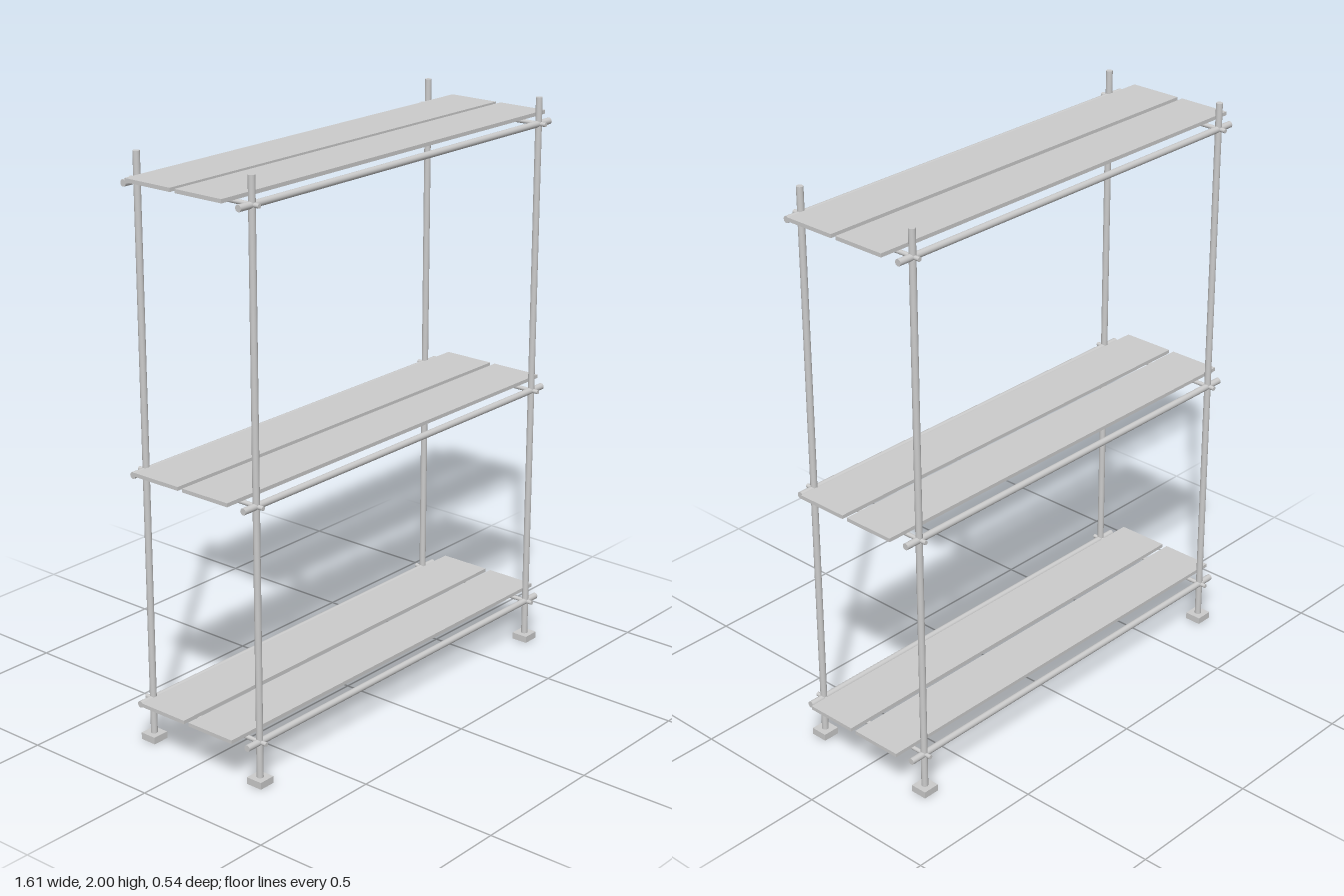
import * as THREE from 'three';

const POST_X = 0.715, POST_Z = 0.238;
const LEVELS = [0.149, 0.957, 1.909];

export function createModel() {
  const model = new THREE.Group();
  const material = new THREE.MeshStandardMaterial({ color: 0xcccccc });

  function add(name, geometry, x, y, z, parent = model) {
    const mesh = new THREE.Mesh(geometry, material);
    mesh.name = name;
    mesh.position.set(x, y, z);
    parent.add(mesh);
  }
  const tube = (radius, length) => new THREE.CylinderGeometry(radius, radius, length, 16);

  // Uprights standing on square foot plates
  const postGeometry = tube(0.0115, 1.98);
  const footGeometry = new THREE.BoxGeometry(0.06, 0.024, 0.06);
  for (const sx of [-1, 1]) {
    for (const sz of [-1, 1]) {
      add('post', postGeometry, sx * POST_X, 1.01, sz * POST_Z);
      add('footPlate', footGeometry, sx * POST_X, 0.012, sz * POST_Z);
    }
  }

  // Each level: long rails, thin cross bars and two planks
  const railGeometry = tube(0.0115, 1.55).rotateZ(Math.PI / 2);
  const crossBarGeometry = tube(0.0075, 0.536).rotateX(Math.PI / 2);
  const plankGeometry = new THREE.BoxGeometry(1.61, 0.013, 0.19);
  for (const y of LEVELS) {
    const level = new THREE.Group();
    level.name = 'shelfLevel';
    level.position.y = y;
    model.add(level);
    for (const s of [-1, 1]) {
      add('rail', railGeometry, 0, 0, s * POST_Z, level);
      add('crossBar', crossBarGeometry, s * POST_X, 0, 0, level);
      add('plank', plankGeometry, 0, 0.021, s * 0.105, level);
    }
  }
  return model;
}
